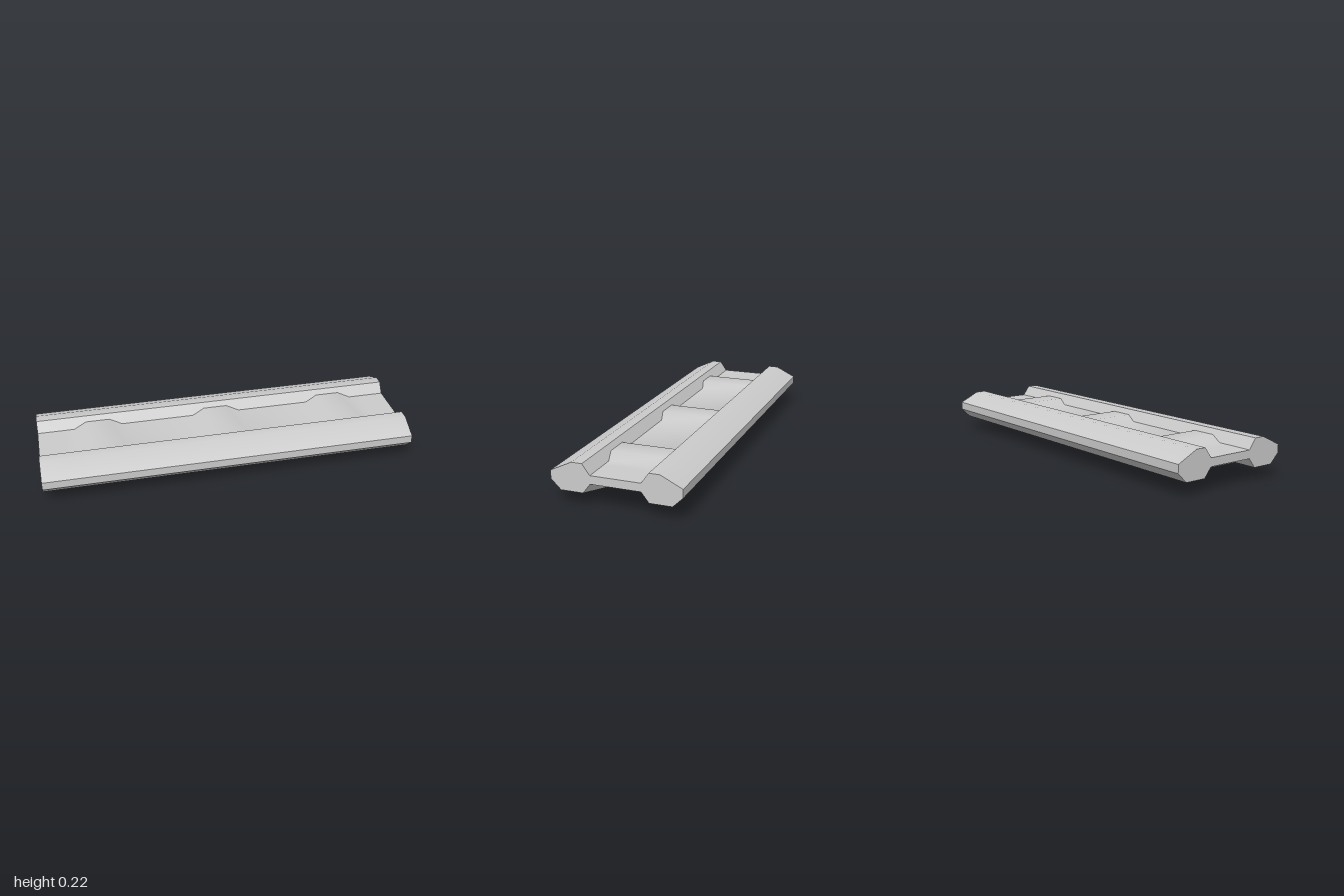
import * as THREE from 'three';
import { toCreasedNormals } from 'three/addons/utils/BufferGeometryUtils.js';

const GREY = new THREE.MeshStandardMaterial({ color: 0xcccccc });
const BOTTOM = 0.07, FLOOR = 0.163, BUMPS = [-0.667, 0, 0.667];

// Closed cross-section [z, y]; the channel floor rises, the notch cuts in from below
function section(floorY, notchBottom, notchTop, notchY) {
  const floorZ = 0.128 + (floorY - FLOOR) * 0.039 / 0.054;
  const half = [
    [floorZ, floorY], [0.167, 0.217], [0.222, 0.217], [0.333, 0.163],
    [0.333, 0.12], [0.282, BOTTOM], [notchBottom, BOTTOM], [notchTop, notchY],
  ];
  return [...half, ...half.map(([z, y]) => [-z, y]).reverse()];
}

function loft(stations) {
  const rings = stations.map(([x, ring]) => ring.map(([z, y]) => new THREE.Vector3(x, y, z)));
  const pos = [];
  const tri = (a, b, c) => {
    const area = b.clone().sub(a).cross(c.clone().sub(a)).length();
    if (area > 1e-7) for (const p of [a, b, c]) pos.push(p.x, p.y, p.z);
  };
  const n = rings[0].length;
  for (let i = 0; i < rings.length - 1; i++) {
    for (let j = 0; j < n; j++) {
      const k = (j + 1) % n;
      tri(rings[i][j], rings[i][k], rings[i + 1][k]);
      tri(rings[i][j], rings[i + 1][k], rings[i + 1][j]);
    }
  }
  // End caps
  const cap = (ring, flip) => {
    const outline = ring.map(p => new THREE.Vector2(-p.z, p.y));
    for (const [a, b, c] of THREE.ShapeUtils.triangulateShape(outline, [])) {
      if (flip) tri(ring[a], ring[c], ring[b]);
      else tri(ring[a], ring[b], ring[c]);
    }
  };
  cap(rings[0], true);
  cap(rings[rings.length - 1], false);
  const geo = new THREE.BufferGeometry();
  geo.setAttribute('position', new THREE.Float32BufferAttribute(pos, 3));
  return toCreasedNormals(geo, Math.PI / 6);
}

export function createModel() {
  const model = new THREE.Group();
  model.name = 'channelRail';

  // Straight notch at one end, tapered notch at the other, bumps between
  const plain = y => section(y, 0.065, 0.037, BOTTOM);
  const straight = section(FLOOR, 0.167, 0.128, 0.12);
  const stations = [
    [-1, straight], [-0.87, straight],
    [-0.87, section(FLOOR, 0.167, 0.128, BOTTOM)],
  ];
  for (const x of BUMPS) {
    stations.push([x - 0.133, plain(FLOOR)], [x - 0.065, plain(0.19)],
      [x + 0.065, plain(0.19)], [x + 0.133, plain(FLOOR)]);
  }
  stations.push([0.86, plain(FLOOR)], [0.86, section(FLOOR, 0.065, 0.037, 0.12)], [1, straight]);
  const body = new THREE.Mesh(loft(stations), GREY);
  body.name = 'railBody';
  model.add(body);

  // Square spikes under the rail, points down
  const spikeGeo = new THREE.ConeGeometry(0.088 * Math.SQRT2, BOTTOM, 4, 1, true).toNonIndexed();
  spikeGeo.rotateY(Math.PI / 4).rotateX(Math.PI);
  spikeGeo.computeVertexNormals();
  for (const x of BUMPS) {
    const spike = new THREE.Mesh(spikeGeo, GREY);
    spike.name = 'spike';
    spike.position.set(x, BOTTOM / 2, 0);
    model.add(spike);
  }
  return model;
}
